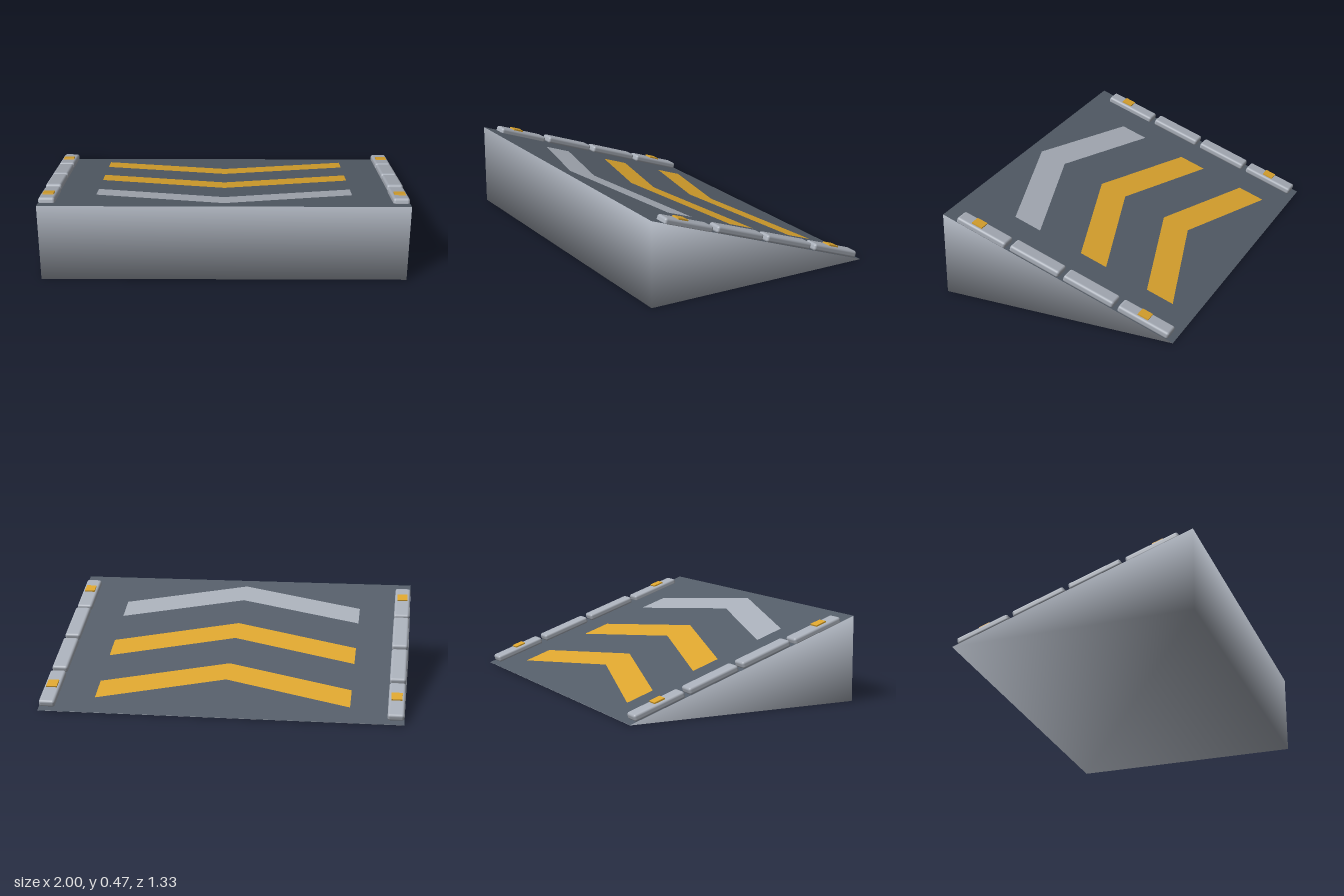
import * as THREE from 'three';
import { RoundedBoxGeometry } from 'three/addons/geometries/RoundedBoxGeometry.js';

const HEIGHT = 0.465, HALF = 0.667;
const ANGLE = Math.atan2(HEIGHT, 2 * HALF);
const COS = Math.cos(ANGLE);

function material(name, color) {
  const m = new THREE.MeshStandardMaterial({ color });
  m.name = name;
  return m;
}

// Smooth-shaded wedge: tall at the front, sharp at the back
function wedgeGeometry() {
  const g = new THREE.BufferGeometry();
  g.setAttribute('position', new THREE.Float32BufferAttribute([
    -1, 0, HALF, 1, 0, HALF, 1, HEIGHT, HALF, -1, HEIGHT, HALF, // front corners
    -1, 0, -HALF, 1, 0, -HALF, // back edge
  ], 3));
  g.setIndex([
    0, 1, 2, 0, 2, 3, // front
    3, 2, 5, 3, 5, 4, // slope
    0, 4, 5, 0, 5, 1, // underside
    1, 5, 2, 0, 3, 4, // sides
  ]);
  g.computeVertexNormals();
  return g;
}

// V-shaped marking; z values are measured on the ground plane
function chevronGeometry(outerZ, tipZ, width) {
  const x = 0.705;
  const points = [
    [-x, outerZ], [0, tipZ], [x, outerZ],
    [x, outerZ + width], [0, tipZ + width], [-x, outerZ + width],
  ].map(([px, z]) => new THREE.Vector2(px, -z / COS));
  return new THREE.ShapeGeometry(new THREE.Shape(points)).rotateX(-Math.PI / 2);
}

export function createModel() {
  const grey = material('light grey', 0xa8aeb8);
  const slate = material('dark slate', 0x545d68);
  const amber = material('amber', 0xdca52e);

  const model = new THREE.Group();
  model.name = 'ramp';
  const add = (parent, name, geometry, mat, x = 0, y = 0, z = 0) => {
    const mesh = new THREE.Mesh(geometry, mat);
    mesh.name = name;
    mesh.position.set(x, y, z);
    parent.add(mesh);
    return mesh;
  };

  add(model, 'wedgeBody', wedgeGeometry(), grey);

  // Everything on the slope lives in a tilted group
  const deck = new THREE.Group();
  deck.name = 'deck';
  deck.position.y = HEIGHT / 2;
  deck.rotation.x = -ANGLE;
  model.add(deck);

  const surface = new THREE.PlaneGeometry(2, 2 * HALF / COS).rotateX(-Math.PI / 2);
  add(deck, 'deckSurface', surface, slate, 0, 0.0015, 0);

  // Direction markings
  [[-0.54, -0.335, amber], [-0.15, 0.06, amber], [0.245, 0.45, grey]].forEach(([outer, tip, mat]) => {
    add(deck, 'chevron', chevronGeometry(outer, tip, 0.15), mat, 0, 0.005, 0);
  });

  // Kerb segments along both edges, with lamps on the end ones
  const kerb = new RoundedBoxGeometry(0.09, 0.04, 0.305, 3, 0.014);
  const lamp = new THREE.BoxGeometry(0.06, 0.02, 0.062);
  for (const side of [-1, 1]) {
    for (let i = 0; i < 4; i++) {
      const z = (-0.491 + i * 0.3125) / COS;
      const y = i === 3 ? 0.011 : 0.019; // the top segment sits lower
      add(deck, 'kerbSegment', kerb, grey, side * 0.955, y, z);
      if (i === 0) add(deck, 'lamp', lamp, amber, side * 0.955, y + 0.018, -0.479 / COS);
      if (i === 3) add(deck, 'lamp', lamp, amber, side * 0.955, y + 0.018, 0.482 / COS);
    }
  }
  return model;
}
